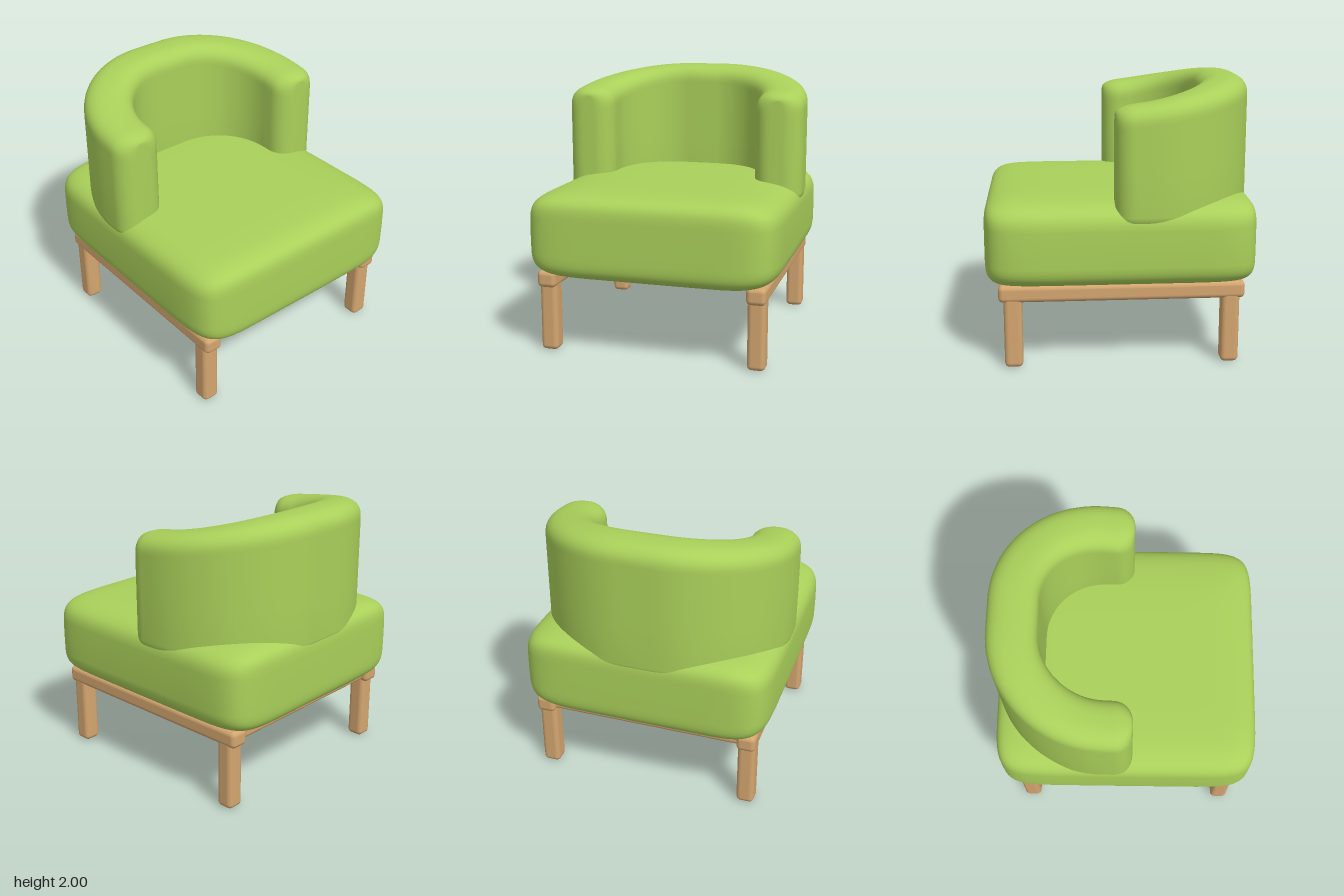
import * as THREE from 'three';
import { RoundedBoxGeometry } from 'three/addons/geometries/RoundedBoxGeometry.js';

// Smooth surface through closed rings of [x, y, z] points, with optional end caps
function loft(rings, capped) {
  const n = rings[0].length, pos = rings.flat(2), idx = [];
  for (let i = 0; i < rings.length - 1; i++) {
    for (let j = 0; j < n; j++) {
      const k = (j + 1) % n;
      const a = i * n + j, b = i * n + k, c = a + n, d = b + n;
      idx.push(a, b, d, a, d, c);
    }
  }
  if (capped) {
    [0, rings.length - 1].forEach((r) => {
      const centre = [0, 1, 2].map((c) => rings[r].reduce((s, p) => s + p[c], 0) / n);
      const m = pos.length / 3;
      pos.push(...centre);
      for (let j = 0; j < n; j++) {
        const a = r * n + j, b = r * n + (j + 1) % n;
        idx.push(m, ...(r === 0 ? [b, a] : [a, b]));
      }
    });
  }
  const g = new THREE.BufferGeometry();
  g.setAttribute('position', new THREE.Float32BufferAttribute(pos, 3));
  g.setIndex(idx);
  g.computeVertexNormals();
  return g;
}

const spow = (v, e) => Math.sign(v) * Math.pow(Math.abs(v), e);

// Plump seat block: superellipse plan, softly swollen top, bottom and sides
function cushionGeometry() {
  const rings = [], levels = 48, around = 96;
  for (let i = 0; i <= levels; i++) {
    const f = spow(Math.sin((i / levels - 0.5) * Math.PI), 1 / 3);
    const h = Math.min(1, Math.abs(f));
    const rx = 0.92 * Math.pow(1 - h ** 5, 1 / 5);
    const rz = 0.97 * Math.pow(1 - h ** 7, 1 / 7);
    const ring = [];
    for (let j = 0; j < around; j++) {
      const a = (j / around) * Math.PI * 2;
      ring.push([rx * spow(Math.cos(a), 2 / 9), 0.875 + 0.325 * f, -rz * spow(Math.sin(a), 2 / 9)]);
    }
    rings.push(ring);
  }
  return loft(rings, false);
}

// U-shaped wrap of even thickness, rising from the arms to the back
function backrestGeometry() {
  const cx = 0.12, cz = -0.17, radius = 0.62, endZ = 0.05, endR = 0.13;
  // Half path: x, z, outward normal x and z, distance from the arm's end
  const half = [];
  for (let i = 0; i <= 8; i++) {
    const d = endR * (1 - Math.cos((i / 8) * Math.PI / 2));
    half.push([cx + radius, endZ - d, 1, 0, d]);
  }
  for (let i = 0; i <= 24; i++) {
    const a = (i / 24) * Math.PI / 2, c = Math.cos(a), s = Math.sin(a);
    half.push([cx + radius * c, cz - radius * s, c, -s, 1]);
  }
  const path = [...half, ...half.map(([x, z, nx, nz, d]) => [-x, z, -nx, nz, d]).reverse()];

  const rings = path.map(([x, z, nx, nz, d]) => {
    const e = Math.max(0, endR - d);
    const round = Math.sqrt(Math.max(0, 1 - (e / endR) ** 2));
    const w = 0.18 - endR * (1 - round);
    const t = Math.max(0, -z) / 0.79;
    const top = 1.85 + 0.15 * Math.pow(t, 1.35) - 0.06 * (1 - round);
    const ry = 0.14;
    const section = [[-w * 0.7, 1.0], [-w * 0.92, 1.05], [-w, 1.1], [-w, 1.4]];
    for (let k = 0; k <= 20; k++) {
      const a = Math.PI * (1 - k / 20);
      section.push([w * spow(Math.cos(a), 0.8), top - ry + ry * Math.pow(Math.max(0, Math.sin(a)), 0.8)]);
    }
    section.push([w, 1.4], [w, 1.1], [w * 0.92, 1.05], [w * 0.7, 1.0]);
    return section.map(([u, y]) => [x + nx * u, y, z + nz * u]);
  });
  return loft(rings, true);
}

export function createModel() {
  const fabric = new THREE.MeshStandardMaterial({ color: 0xaad05a });
  fabric.name = 'green fabric';
  const wood = new THREE.MeshStandardMaterial({ color: 0xd4a670 });
  wood.name = 'light wood';

  const model = new THREE.Group();
  model.name = 'armchair';
  const add = (name, geometry, material, x = 0, y = 0, z = 0) => {
    const mesh = new THREE.Mesh(geometry, material);
    mesh.name = name;
    mesh.position.set(x, y, z);
    model.add(mesh);
  };

  // Upholstery
  add('seatCushion', cushionGeometry(), fabric);
  add('backrest', backrestGeometry(), fabric);

  // Frame: a rail along each side, one across the back, four legs
  const rail = new RoundedBoxGeometry(0.14, 0.125, 1.74, 4, 0.035);
  const leg = new RoundedBoxGeometry(0.13, 0.54, 0.13, 4, 0.035);
  for (const [sx, side] of [[1, 'left'], [-1, 'right']]) {
    add(side + 'Rail', rail, wood, sx * 0.77, 0.545, 0);
    add(side + 'FrontLeg', leg, wood, sx * 0.77, 0.27, 0.77);
    add(side + 'BackLeg', leg, wood, sx * 0.77, 0.27, -0.77);
  }
  add('backRail', new RoundedBoxGeometry(1.5, 0.11, 0.11, 4, 0.03), wood, 0, 0.55, -0.77);

  return model;
}
